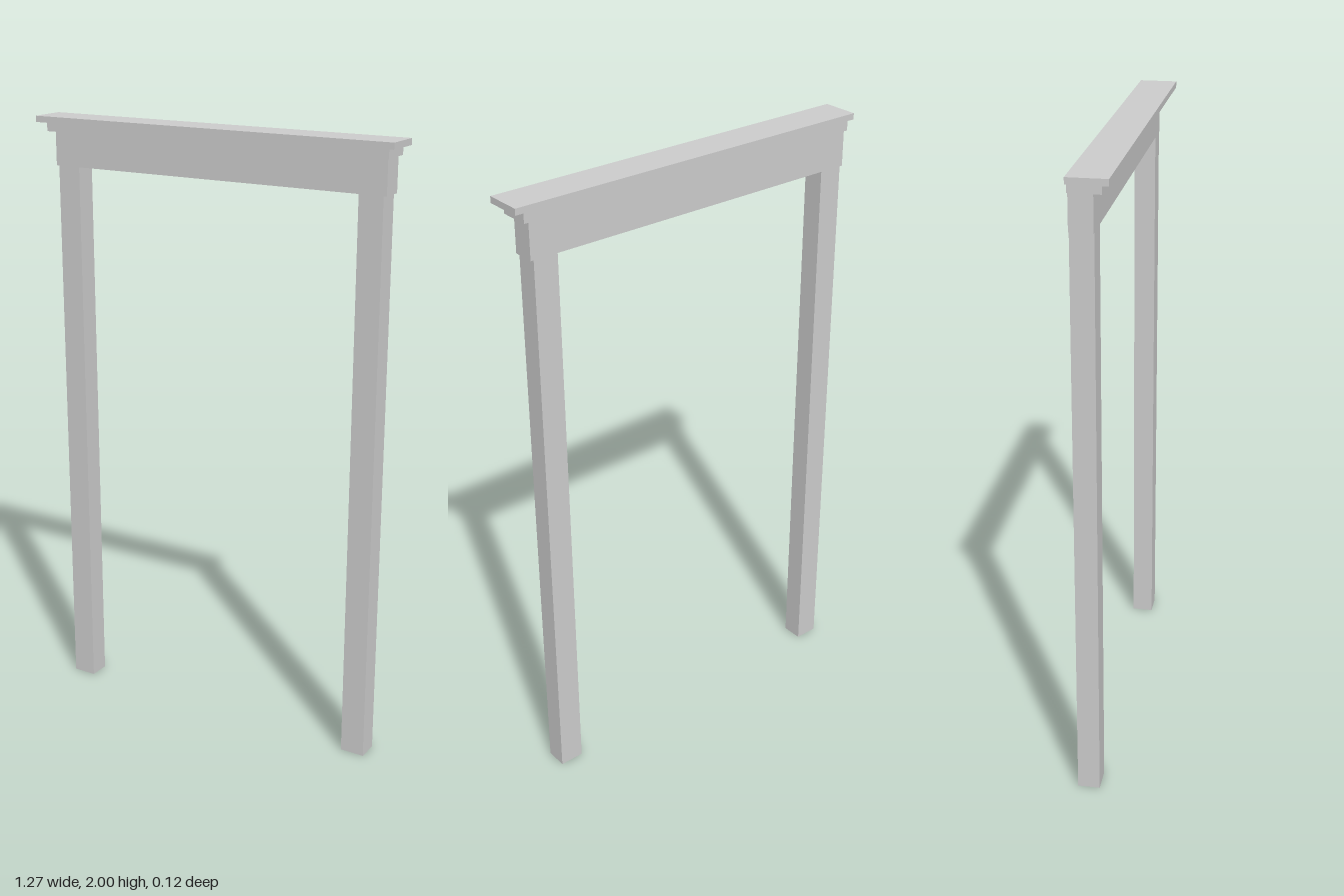
import * as THREE from 'three';

const BACK = -0.06; // every part shares one flat back plane

export function createModel() {
  const group = new THREE.Group();
  const material = new THREE.MeshStandardMaterial({ color: 0xcccccc, flatShading: true });

  // Box given by its extents in x and y, and its front face in z
  function board(name, x0, x1, y0, y1, front) {
    const mesh = new THREE.Mesh(new THREE.BoxGeometry(x1 - x0, y1 - y0, front - BACK), material);
    mesh.position.set((x0 + x1) / 2, (y0 + y1) / 2, (front + BACK) / 2);
    mesh.name = name;
    group.add(mesh);
  }

  // Side posts
  board('leftPost', 0.503, 0.583, 0, 1.838, 0.01);
  board('rightPost', -0.583, -0.503, 0, 1.838, 0.01);

  // Header with two stepped mouldings above it
  board('header', -0.593, 0.593, 1.838, 1.95, 0.01);
  board('lowerMoulding', -0.607, 0.607, 1.95, 1.98, 0.036);
  board('cap', -0.633, 0.633, 1.98, 2, 0.06);

  return group;
}
